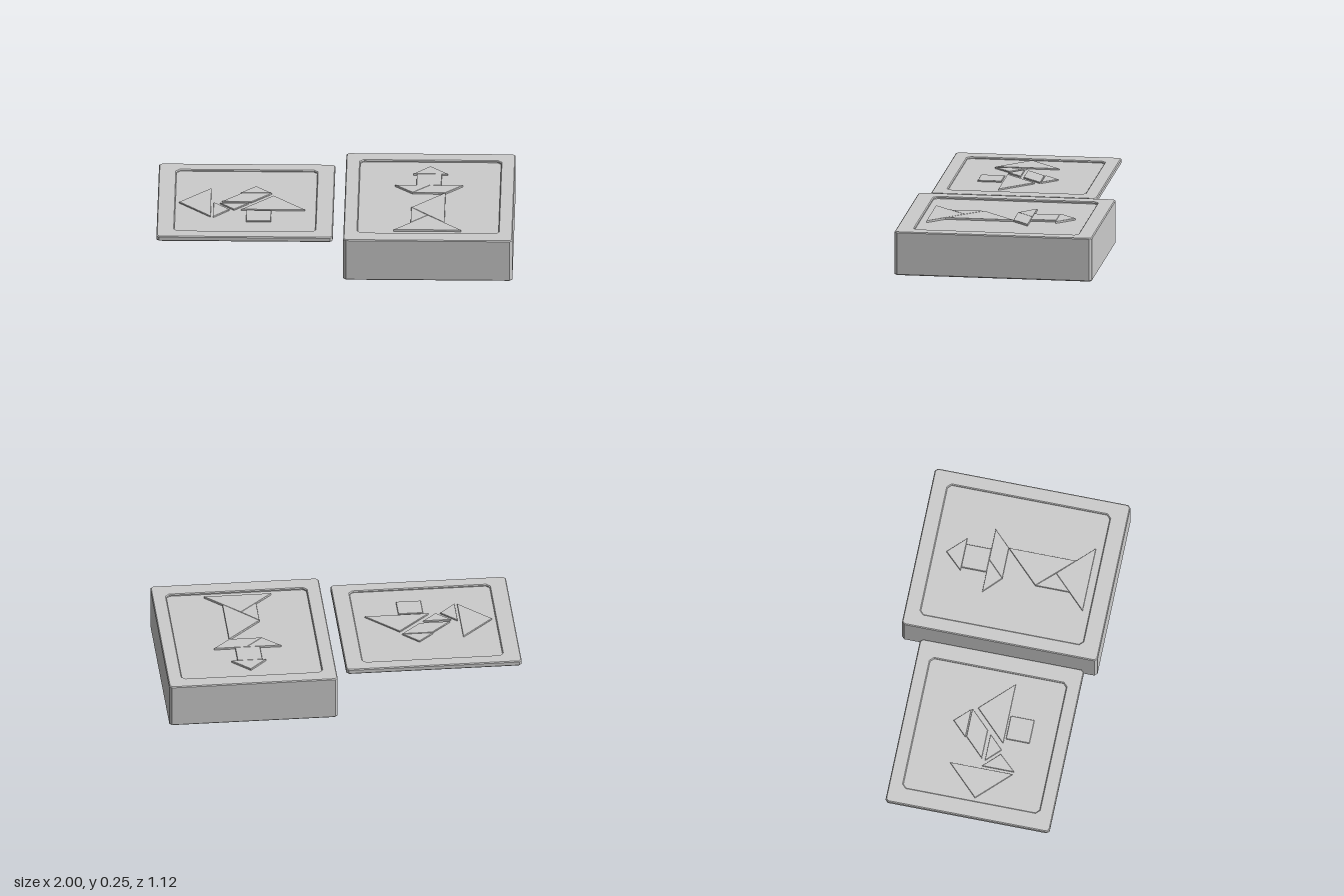
import * as THREE from 'three';

const material = new THREE.MeshStandardMaterial({ color: 0xcccccc, flatShading: true });

// Rectangle with cut corners; shape x is model x, shape y is model z.
function cutRect(Type, x0, x1, z0, z1, c) {
  const pts = [[x0 + c, z0], [x1 - c, z0], [x1, z0 + c], [x1, z1 - c],
    [x1 - c, z1], [x0 + c, z1], [x0, z1 - c], [x0, z0 + c]];
  return new Type(pts.map(p => new THREE.Vector2(...p)));
}

// Flat slab between heights y0 and y1, with small chamfers of size b.
function slab(name, shape, y0, y1, b = 0) {
  const geo = new THREE.ExtrudeGeometry(shape, {
    depth: y1 - y0 - 2 * b, bevelEnabled: b > 0, bevelSegments: 1,
    bevelSize: b, bevelThickness: b, bevelOffset: -b,
  });
  geo.rotateX(Math.PI / 2).translate(0, y1 - b, 0);
  const mesh = new THREE.Mesh(geo, material);
  mesh.name = name;
  return mesh;
}

// Puzzle figure: one raised slab for every polygon.
function figure(name, polygons, y0, y1) {
  const group = new THREE.Group();
  group.name = name;
  polygons.forEach((poly, i) => {
    const shape = new THREE.Shape(poly.map(p => new THREE.Vector2(...p)));
    group.add(slab('puzzlePiece' + (i + 1), shape, y0, y1, 0.002));
  });
  return group;
}

// Rim around a panel that is sunk by the given depths at top and bottom.
function framedBoard(name, outer, inner, y0, y1, sinkTop, sinkBottom) {
  const group = new THREE.Group();
  group.name = name;
  const rim = cutRect(THREE.Shape, ...outer, 0.015);
  rim.holes.push(cutRect(THREE.Path, ...inner, 0.02));
  const [x0, x1, z0, z1] = inner;
  const e = 0.008;
  const panel = cutRect(THREE.Shape, x0 - e, x1 + e, z0 - e, z1 + e, 0.02);
  group.add(slab('rim', rim, y0, y1, 0.005));
  group.add(slab('sunkenPanel', panel, y0 + sinkBottom, y1 - sinkTop));
  return group;
}

export function createModel() {
  const model = new THREE.Group();
  model.name = 'puzzleBoxAndLid';

  // Deep box with a standing figure on its top
  const box = framedBoard('box', [0.05, 1, -0.56, 0.56], [0.13, 0.92, -0.47, 0.46], 0, 0.25, 0.012, 0);
  box.add(figure('standingFigure', [
    [[0.525, -0.4], [0.43, -0.3], [0.625, -0.3]],
    [[0.45, -0.3], [0.59, -0.3], [0.59, -0.155], [0.45, -0.155]],
    [[0.33, -0.155], [0.525, -0.155], [0.43, -0.06]],
    [[0.525, -0.155], [0.71, -0.155], [0.615, -0.06], [0.43, -0.06]],
    [[0.615, -0.06], [0.425, 0.13], [0.615, 0.325]],
    [[0.425, 0.13], [0.52, 0.23], [0.425, 0.325]],
    [[0.52, 0.23], [0.33, 0.42], [0.71, 0.42]],
  ], 0.232, 0.249));
  model.add(box);

  // Thin lid, panelled on both faces
  const lid = framedBoard('lid', [-1, -0.01, -0.44, 0.5], [-0.9, -0.11, -0.36, 0.42], 0.205, 0.235, 0.01, 0.01);
  lid.add(figure('topFigure', [
    [[-0.88, 0.05], [-0.7, -0.13], [-0.7, 0.23]],
    [[-0.685, 0.05], [-0.595, 0.14], [-0.685, 0.235]],
    [[-0.65, 0.06], [-0.49, 0.06], [-0.57, 0.14]],
    [[-0.64, 0.04], [-0.53, -0.07], [-0.36, -0.07], [-0.47, 0.04]],
    [[-0.45, -0.16], [-0.535, -0.075], [-0.365, -0.075]],
    [[-0.35, -0.04], [-0.53, 0.14], [-0.17, 0.14]],
    [[-0.5, 0.15], [-0.36, 0.15], [-0.36, 0.285], [-0.5, 0.285]],
  ], 0.22, 0.233));
  lid.add(figure('undersideFigure', [
    [[-0.44, -0.25], [-0.47, -0.08], [-0.7, -0.09], [-0.88, -0.2], [-0.88, 0.19], [-0.62, 0.27],
      [-0.4, 0.05], [-0.35, 0.17], [-0.25, 0.12], [-0.21, 0.05], [-0.29, -0.12]],
  ], 0.207, 0.22));
  model.add(lid);

  return model;
}
